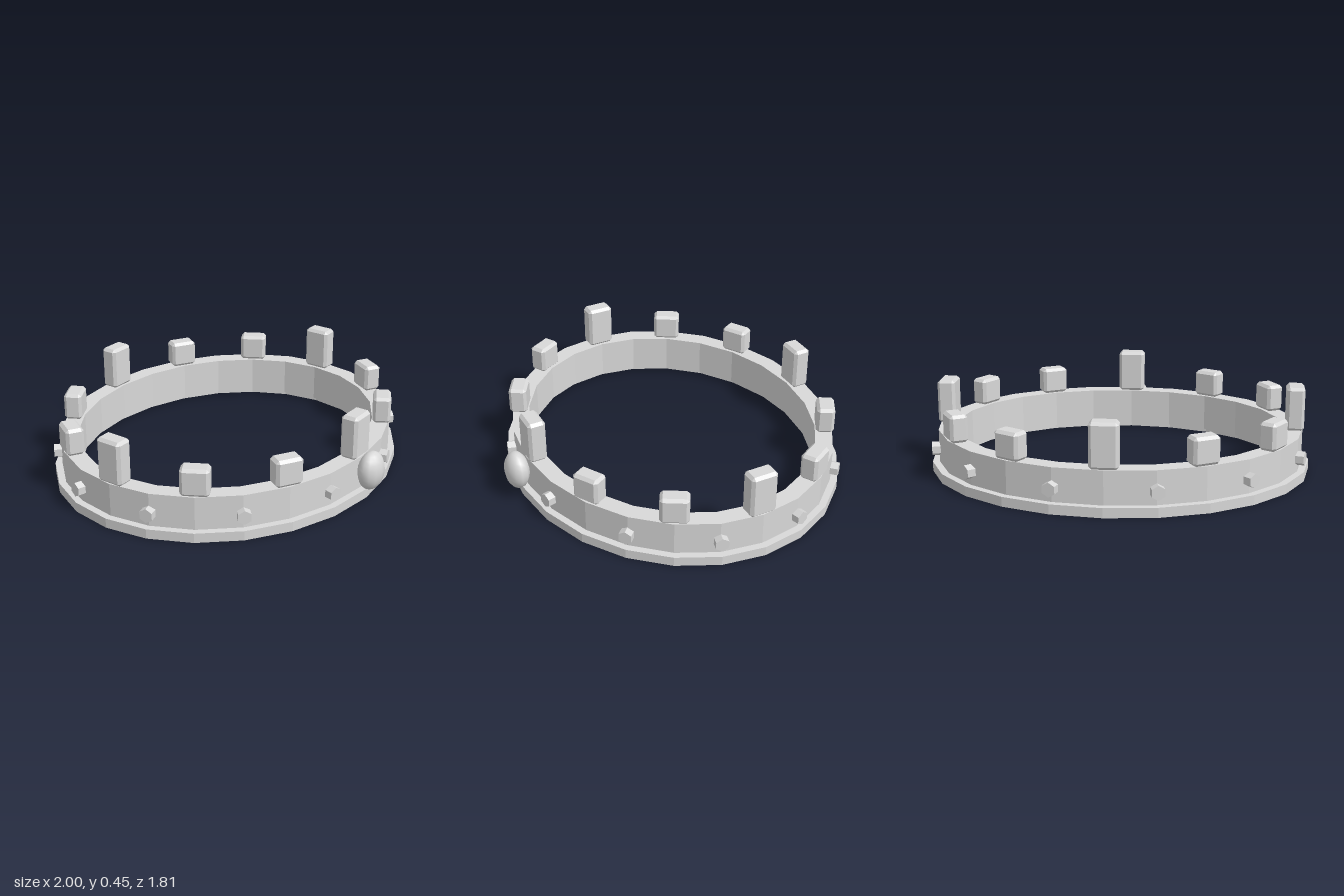
import * as THREE from 'three';
import { ConvexGeometry } from 'three/addons/geometries/ConvexGeometry.js';

const CENTER_Z = -0.041;
const SIDES = 24;

// Points of a faceted ellipse, counter-clockwise
function ellipse(rx, ry) {
  return Array.from({ length: SIDES }, (_, i) => {
    const a = (i / SIDES) * Math.PI * 2;
    return new THREE.Vector2(Math.cos(a) * rx, Math.sin(a) * ry);
  });
}

// Flat-sided elliptical ring from y0 to y1; the hole runs clockwise so its wall faces inward
function ringGeometry(outer, inner, y0, y1) {
  const shape = new THREE.Shape(ellipse(...outer));
  shape.holes.push(new THREE.Path(ellipse(...inner).reverse()));
  const g = new THREE.ExtrudeGeometry(shape, { depth: y1 - y0, bevelEnabled: false });
  return g.rotateX(-Math.PI / 2).translate(0, y0, CENTER_Z);
}

// Box with every edge chamfered by c
function chamferedBox(w, h, d, c) {
  const pts = [];
  for (const x of [-1, 1]) for (const y of [-1, 1]) for (const z of [-1, 1]) {
    for (const [i, j, k] of [[0, c, c], [c, 0, c], [c, c, 0]]) {
      pts.push(new THREE.Vector3(x * (w / 2 - i), y * (h / 2 - j), z * (d / 2 - k)));
    }
  }
  return new ConvexGeometry(pts);
}

export function createModel() {
  const group = new THREE.Group();
  const metal = new THREE.MeshStandardMaterial({ color: 0xd8d8d8 });
  metal.name = 'light grey';

  const add = (name, geometry) => {
    const mesh = new THREE.Mesh(geometry, metal);
    mesh.name = name;
    group.add(mesh);
    return mesh;
  };
  // Place a mesh on the ellipse, facing outward
  const place = (mesh, angle, rx, rz, y) => {
    mesh.position.set(Math.sin(angle) * rx, y, CENTER_Z + Math.cos(angle) * rz);
    mesh.rotation.y = angle;
  };

  // Base rim and main band
  add('baseRim', ringGeometry([1, 0.864], [0.895, 0.762], 0, 0.05));
  add('band', ringGeometry([0.963, 0.828], [0.87, 0.737], 0.025, 0.222));

  // Upright blocks: tall on the four axes, short between
  const tall = chamferedBox(0.144, 0.23, 0.094, 0.015);
  const short = chamferedBox(0.144, 0.143, 0.094, 0.015);
  // Hexagonal studs, points up and down
  const stud = new THREE.CylinderGeometry(0.037, 0.037, 0.052, 6)
    .rotateX(Math.PI / 2).toNonIndexed();
  stud.computeVertexNormals();

  for (let i = 0; i < 12; i++) {
    const a = (i * Math.PI) / 6;
    const isTall = i % 3 === 0;
    place(add(isTall ? 'tallBlock' : 'shortBlock', isTall ? tall : short),
      a, 0.92, 0.784, isTall ? 0.336 : 0.294);
    place(add('stud', stud), a + Math.PI / 12, 0.975, 0.842, 0.122);
  }

  // Oval front gem
  const gem = add('frontGem', new THREE.SphereGeometry(1, 12, 12));
  gem.scale.set(0.087, 0.102, 0.062);
  gem.position.set(0, 0.162, 0.843);

  return group;
}
